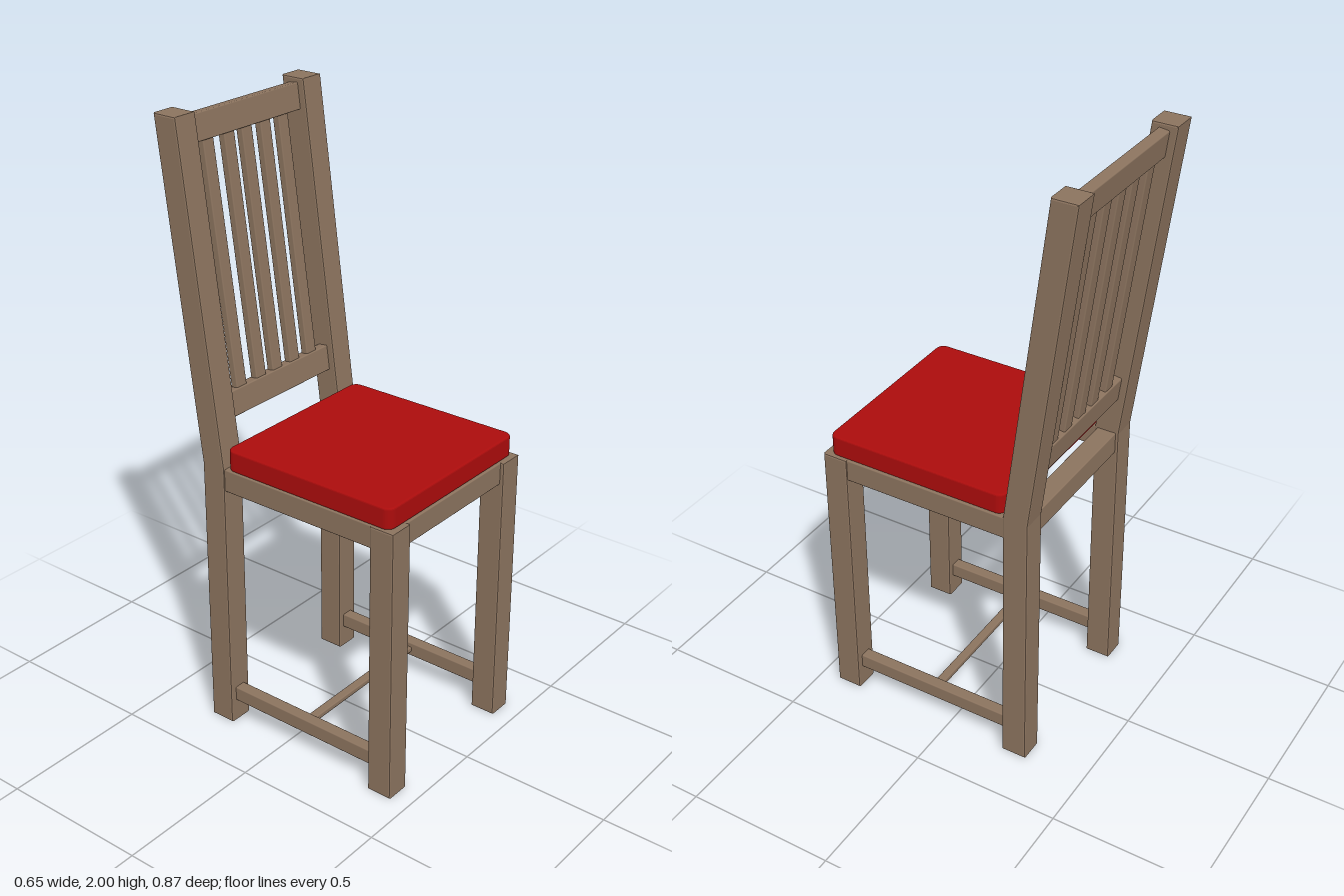
import * as THREE from 'three';
import { RoundedBoxGeometry } from 'three/addons/geometries/RoundedBoxGeometry.js';

const wood = new THREE.MeshStandardMaterial({ color: 0x8b735e });
const fabric = new THREE.MeshStandardMaterial({ color: 0xab0c0c });

const LEG = 0.085;          // square leg section
const LEG_X = 0.2825;       // leg centre line
const FRONT_Z = 0.3925, BACK_Z = -0.2525;
const SEAT_Y = 0.93;        // top of the frame, where the back starts to lean
const LEAN = 0.14;          // how far back the posts go at the top

export function createModel() {
  const chair = new THREE.Group();
  chair.name = 'chair';

  const add = (parent, name, geometry, material, x, y, z) => {
    const mesh = new THREE.Mesh(geometry, material);
    mesh.name = name;
    mesh.position.set(x, y, z);
    parent.add(mesh);
    return mesh;
  };
  const bar = (parent, name, w, h, d, x, y, z, r = 0.004) =>
    add(parent, name, new RoundedBoxGeometry(w, h, d, 2, r), wood, x, y, z);

  // Post cut from a side profile of [z, y] points, with chamfered long edges
  const post = (name, points, x) => {
    const b = 0.006;
    const shape = new THREE.Shape(points.map(([z, y]) => new THREE.Vector2(z, y)));
    const geometry = new THREE.ExtrudeGeometry(shape, {
      depth: LEG - 2 * b, bevelThickness: b, bevelSize: b, bevelOffset: -b, bevelSegments: 2,
    });
    geometry.translate(0, 0, b - LEG / 2);
    geometry.rotateY(-Math.PI / 2);
    add(chair, name, geometry, wood, x, 0, 0);
  };

  // Legs, side aprons and side stretchers
  const h = LEG / 2;
  const midZ = (FRONT_Z + BACK_Z) / 2, spanZ = FRONT_Z - BACK_Z - LEG + 0.02;
  for (const [side, s] of [['left', 1], ['right', -1]]) {
    const x = s * LEG_X;
    post(side + 'FrontLeg', [
      [FRONT_Z - h, 0], [FRONT_Z + h, 0], [FRONT_Z + h, SEAT_Y], [FRONT_Z - h, SEAT_Y],
    ], x);
    post(side + 'BackPost', [
      [BACK_Z - h, 0], [BACK_Z + h, 0], [BACK_Z + h, SEAT_Y],
      [BACK_Z + h - LEAN, 2], [BACK_Z - h - LEAN, 2], [BACK_Z - h, SEAT_Y],
    ], x);
    bar(chair, side + 'Apron', 0.076, 0.075, spanZ, x, 0.8925, midZ);
    bar(chair, side + 'Stretcher', 0.04, 0.05, spanZ, x, 0.1, midZ);
  }

  // Front and back aprons, cross stretcher
  bar(chair, 'frontApron', 0.5, 0.075, 0.06, 0, 0.8925, FRONT_Z);
  bar(chair, 'backApron', 0.5, 0.075, 0.065, 0, 0.8925, BACK_Z);
  bar(chair, 'crossStretcher', 2 * LEG_X - 0.02, 0.018, 0.03, 0, 0.1, midZ);

  // Leaning back rest: two rails and five slats
  const back = new THREE.Group();
  back.name = 'backRest';
  back.position.set(0, SEAT_Y, BACK_Z);
  const tilt = Math.atan(LEAN / (2 - SEAT_Y));
  back.rotation.x = -tilt;
  chair.add(back);
  const local = (y) => (y - SEAT_Y) / Math.cos(tilt);
  bar(back, 'topRail', 0.5, 0.084, 0.036, 0, local(1.942), 0);
  bar(back, 'lowerRail', 0.5, 0.084, 0.036, 0, local(1.098), 0);
  for (const x of [-0.169, -0.078, 0, 0.084, 0.167]) {
    const slat = bar(back, 'slat', 0.045, local(1.92) - local(1.12), 0.025, x, local(1.52), 0);
    slat.rotation.z = 0.006;
  }

  // Seat cushion with rounded corners and softened edges
  const hx = 0.316, hz = 0.311, r = 0.028, b = 0.006;
  const outline = new THREE.Shape();
  outline.moveTo(hx, -hz + r);
  outline.absarc(hx - r, hz - r, r, 0, Math.PI / 2);
  outline.absarc(-hx + r, hz - r, r, Math.PI / 2, Math.PI);
  outline.absarc(-hx + r, -hz + r, r, Math.PI, Math.PI * 1.5);
  outline.absarc(hx - r, -hz + r, r, Math.PI * 1.5, Math.PI * 2);
  const cushion = new THREE.ExtrudeGeometry(outline, {
    depth: 0.07 - 2 * b, bevelThickness: b, bevelSize: b, bevelOffset: -b,
    bevelSegments: 3, curveSegments: 6,
  });
  cushion.rotateX(-Math.PI / 2);
  add(chair, 'cushion', cushion, fabric, -0.001, SEAT_Y + b, 0.106);

  return chair;
}
